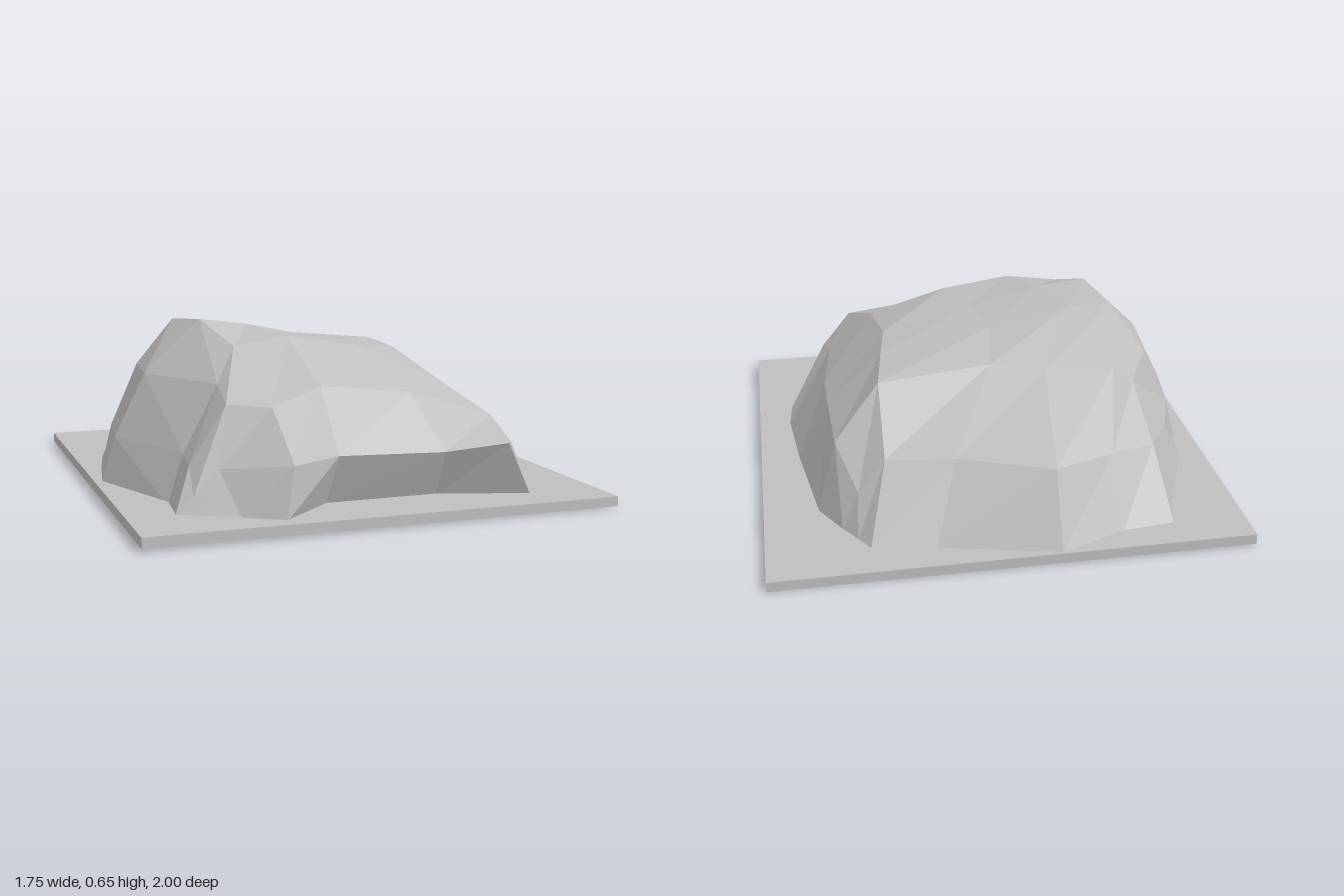
import * as THREE from 'three';

const GROUND = 0.035;

// One cross-section from the right foot over the crest to the left foot.
// The right flank gets an extra, slightly bulging point.
function section(rightFoot, points, leftFoot, bulge = 0.02) {
  const foot = ([x, z]) => new THREE.Vector3(x, GROUND, z);
  const start = foot(rightFoot);
  const mids = points.map(p => new THREE.Vector3(...p));
  const flank = start.clone().lerp(mids[0], 0.43);
  flank.x -= bulge;
  return [start, flank, ...mids, foot(leftFoot)];
}

// A cross-section lying flat on the slab
function footprint(points) {
  return points.map(([x, z]) => new THREE.Vector3(x, GROUND, z));
}

// Skins neighbouring sections with flat facets
function loft(rows) {
  const positions = [];
  const tri = (...corners) => corners.forEach(v => positions.push(v.x, v.y, v.z));
  for (let r = 0; r < rows.length - 1; r++) {
    for (let c = 0; c < rows[r].length - 1; c++) {
      const a = rows[r][c], b = rows[r][c + 1];
      const d = rows[r + 1][c], e = rows[r + 1][c + 1];
      tri(a, b, e);
      tri(a, e, d);
    }
  }
  const geometry = new THREE.BufferGeometry();
  geometry.setAttribute('position', new THREE.Float32BufferAttribute(positions, 3));
  geometry.computeVertexNormals();
  return geometry;
}

function rockGeometry() {
  // front foot, undercut below the lip
  const frontFoot = footprint([[-0.71, 0.74], [-0.62, 0.79], [-0.5, 0.85], [-0.37, 0.92],
    [-0.16, 0.72], [0.27, 0.7], [0.6, 0.8], [0.6, 0.8], [0.6, 0.8]]);
  const frontLip = section([-0.71, 0.74], [[-0.55, 0.19, 0.72], [-0.33, 0.22, 0.89],
    [-0.14, 0.225, 0.8], [0.27, 0.21, 0.78], [0.49, 0.24, 0.84], [0.6, GROUND, 0.8]], [0.6, 0.8], 0);
  const brow = section([-0.7, 0.64], [[-0.5, 0.4, 0.64], [-0.35, 0.39, 0.7],
    [-0.16, 0.45, 0.66], [0.19, 0.41, 0.63], [0.46, 0.33, 0.74], [0.58, 0.21, 0.68]], [0.67, 0.62]);
  const shoulder = section([-0.69, 0.54], [[-0.49, 0.45, 0.49], [-0.4, 0.57, 0.38],
    [-0.19, 0.6, 0.37], [0.08, 0.555, 0.38], [0.38, 0.42, 0.49], [0.56, 0.24, 0.54]], [0.74, 0.39]);
  const crest = section([-0.85, 0.13], [[-0.68, 0.45, 0.13], [-0.47, 0.65, 0.15],
    [-0.28, 0.625, 0.16], [0, 0.565, 0.14], [0.36, 0.5, 0.06], [0.6, 0.28, 0.1]], [0.75, 0.25]);
  const backCrest = section([-0.81, -0.12], [[-0.65, 0.45, -0.16], [-0.52, 0.63, -0.09],
    [-0.36, 0.62, -0.08], [-0.04, 0.56, -0.1], [0.39, 0.5, -0.17], [0.6, 0.3, -0.13]], [0.72, -0.08]);
  const backShoulder = section([-0.77, -0.33], [[-0.55, 0.42, -0.38], [-0.46, 0.49, -0.42],
    [-0.2, 0.5, -0.42], [0, 0.515, -0.37], [0.42, 0.49, -0.42], [0.59, 0.3, -0.5]], [0.66, -0.53]);
  const backLip = section([-0.64, -0.7], [[-0.57, 0.27, -0.63], [-0.4, 0.28, -0.7],
    [-0.17, 0.295, -0.82], [0.17, 0.3, -0.7], [0.42, 0.29, -0.65], [0.52, 0.17, -0.66]], [0.58, -0.68], 0);
  const backFoot = footprint([[-0.64, -0.7], [-0.63, -0.76], [-0.61, -0.82], [-0.41, -0.85],
    [-0.17, -0.96], [0.26, -0.86], [0.49, -0.83], [0.53, -0.76], [0.58, -0.68]]);
  return loft([frontFoot, frontLip, brow, shoulder, crest, backCrest, backShoulder, backLip, backFoot]);
}

// Thin slab, slightly skewed in plan and sloping down to the left and back
function slabGeometry() {
  const geometry = new THREE.BoxGeometry(1.755, 0.04, 1.945);
  const p = geometry.attributes.position;
  for (let i = 0; i < p.count; i++) {
    const x = p.getX(i), y = p.getY(i), z = p.getZ(i);
    const sx = Math.sign(x), sz = Math.sign(z);
    p.setXYZ(i,
      sx > 0 && sz < 0 ? 0.857 : x,
      y > 0 ? 0.042 - 0.004 * sx + 0.002 * sz : 0.005 - 0.003 * sx + 0.002 * sz,
      z - 0.0275 * sx);
  }
  geometry.computeVertexNormals();
  return geometry;
}

export function createModel() {
  const stone = new THREE.MeshStandardMaterial({ color: 0xbfbfbf });
  stone.name = 'stone grey';
  stone.flatShading = true;
  stone.side = THREE.DoubleSide;

  const model = new THREE.Group();
  model.name = 'rockOnSlab';
  const add = (name, geometry) => {
    const mesh = new THREE.Mesh(geometry, stone);
    mesh.name = name;
    model.add(mesh);
  };
  add('slab', slabGeometry());
  add('rock', rockGeometry());
  return model;
}
